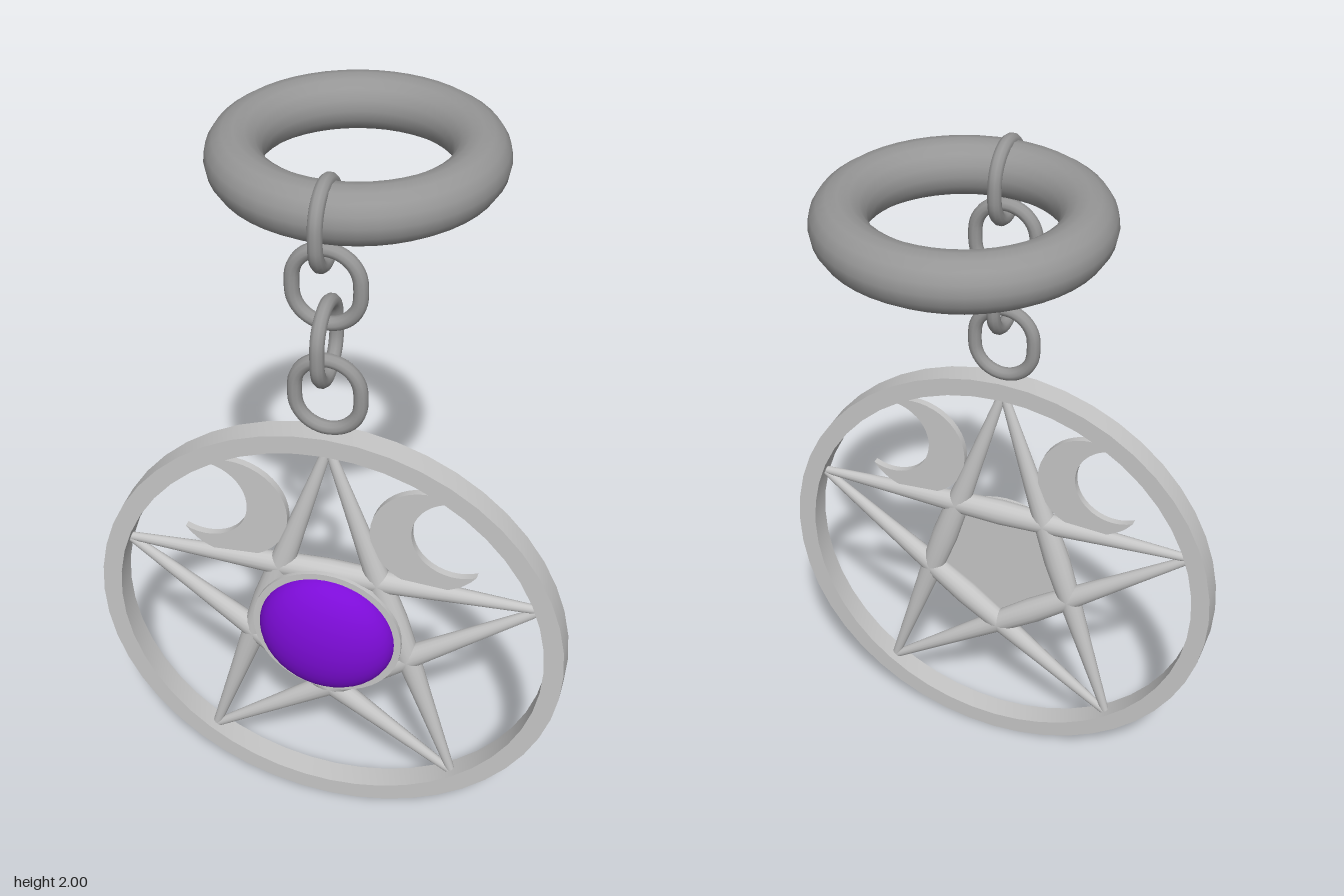
import * as THREE from 'three';
import { toCreasedNormals } from 'three/addons/utils/BufferGeometryUtils.js';

const CY = 0.648; // height of the pendant centre
const CZ = 0.269; // depth of the pendant and chain plane

export function createModel() {
  const silver = new THREE.MeshStandardMaterial({ color: 0xc6c6c6 });
  silver.name = 'silver';
  const steel = new THREE.MeshStandardMaterial({ color: 0x969696 });
  steel.name = 'steel';
  const purple = new THREE.MeshStandardMaterial({ color: 0x7d0cd8 });
  purple.name = 'purple';

  const model = new THREE.Group();
  const add = (name, geometry, material, x, y, z) => {
    const mesh = new THREE.Mesh(geometry, material);
    mesh.name = name;
    mesh.position.set(x, y, z);
    model.add(mesh);
    return mesh;
  };
  // extruded plate centred on z = 0, sharp rims and smooth curved walls
  const plate = (shape, depth, curveSegments) => {
    const g = new THREE.ExtrudeGeometry(shape, { depth, curveSegments, bevelEnabled: false });
    return toCreasedNormals(g.translate(0, 0, -depth / 2), 0.6);
  };
  const ringShape = (outer, inner) => {
    const s = new THREE.Shape().absarc(0, 0, outer, 0, Math.PI * 2);
    s.holes.push(new THREE.Path().absarc(0, 0, inner, 0, Math.PI * 2, true));
    return s;
  };

  // large holding ring, lying flat
  const ring = new THREE.TorusGeometry(0.2975, 0.0725, 16, 48).rotateX(Math.PI / 2);
  add('holdingRing', ring, steel, -0.004, 1.912, -0.025);

  // oval chain links, alternately turned by a quarter
  const linkPath = new THREE.CatmullRomCurve3(
    Array.from({ length: 24 }, (_, i) => {
      const a = ((i + 0.5) / 24) * Math.PI * 2;
      return new THREE.Vector3(Math.cos(a) * 0.084, Math.sin(a) * 0.084 + Math.sign(Math.sin(a)) * 0.016, 0);
    }), true);
  const linkGeometry = new THREE.TubeGeometry(linkPath, 48, 0.0185, 10, true);
  [1.882, 1.714, 1.563, 1.408].forEach((y, i) => {
    const link = add('chainLink' + (i + 1), linkGeometry, steel, 0, y, CZ);
    link.rotation.y = i % 2 ? 0 : Math.PI / 2;
  });

  // outer hoop of the pendant
  add('pendantHoop', plate(ringShape(0.645, 0.592), 0.068, 24), silver, 0, CY, CZ);

  // five spindle bars forming the star
  const profile = [[0, -0.575], [0.012, -0.565], [0.024, -0.32], [0.034, -0.134], [0.039, 0],
    [0.034, 0.134], [0.024, 0.32], [0.012, 0.565], [0, 0.575]].map(([r, y]) => new THREE.Vector2(r, y));
  const barGeometry = new THREE.LatheGeometry(profile, 16).scale(1, 1, 0.86);
  for (let i = 0; i < 5; i++) {
    const a = Math.PI / 2 + (i * Math.PI * 2) / 5;
    const bar = add('starBar' + (i + 1), barGeometry, silver, Math.cos(a) * 0.185, CY + Math.sin(a) * 0.185, CZ);
    bar.rotation.z = a;
  }

  // crescent moons, horns pointing away from the middle
  const crescent = (side) => {
    const outer = { x: 0.267, y: 1.0, r: 0.156 };
    const inner = { x: 0.341, y: 1.019, r: 0.12 };
    // the two circles meet at the horns
    const dx = inner.x - outer.x, dy = inner.y - outer.y;
    const d = Math.hypot(dx, dy), dir = Math.atan2(dy, dx);
    const along = (d * d + outer.r ** 2 - inner.r ** 2) / (2 * d);
    const half = Math.acos(along / outer.r);
    const innerHalf = Math.acos((along - d) / inner.r);
    const points = [];
    for (let i = 0; i <= 32; i++) {
      const a = dir + half + (i / 32) * (Math.PI * 2 - 2 * half);
      points.push(new THREE.Vector2(side * (outer.x + outer.r * Math.cos(a)), outer.y + outer.r * Math.sin(a)));
    }
    for (let i = 1; i < 24; i++) {
      const a = dir - innerHalf - (i / 24) * (Math.PI * 2 - 2 * innerHalf);
      points.push(new THREE.Vector2(side * (inner.x + inner.r * Math.cos(a)), inner.y + inner.r * Math.sin(a)));
    }
    return new THREE.Shape(points);
  };
  add('leftMoon', plate(crescent(1), 0.02, 12), silver, 0, 0, CZ);
  add('rightMoon', plate(crescent(-1), 0.02, 12), silver, 0, 0, CZ);

  // gem setting: backing disc with a raised rim
  const backing = new THREE.CylinderGeometry(0.204, 0.204, 0.02, 48).rotateX(Math.PI / 2);
  add('gemBacking', backing, silver, 0, CY, 0.291);
  add('gemRim', plate(ringShape(0.207, 0.188), 0.02, 24), silver, 0, CY, 0.3);

  // domed gem
  const dome = new THREE.SphereGeometry(0.189, 40, 14, 0, Math.PI * 2, 0, Math.PI / 2).rotateX(Math.PI / 2).scale(1, 1, 0.48);
  add('gem', dome, purple, 0, CY, 0.302);

  return model;
}
